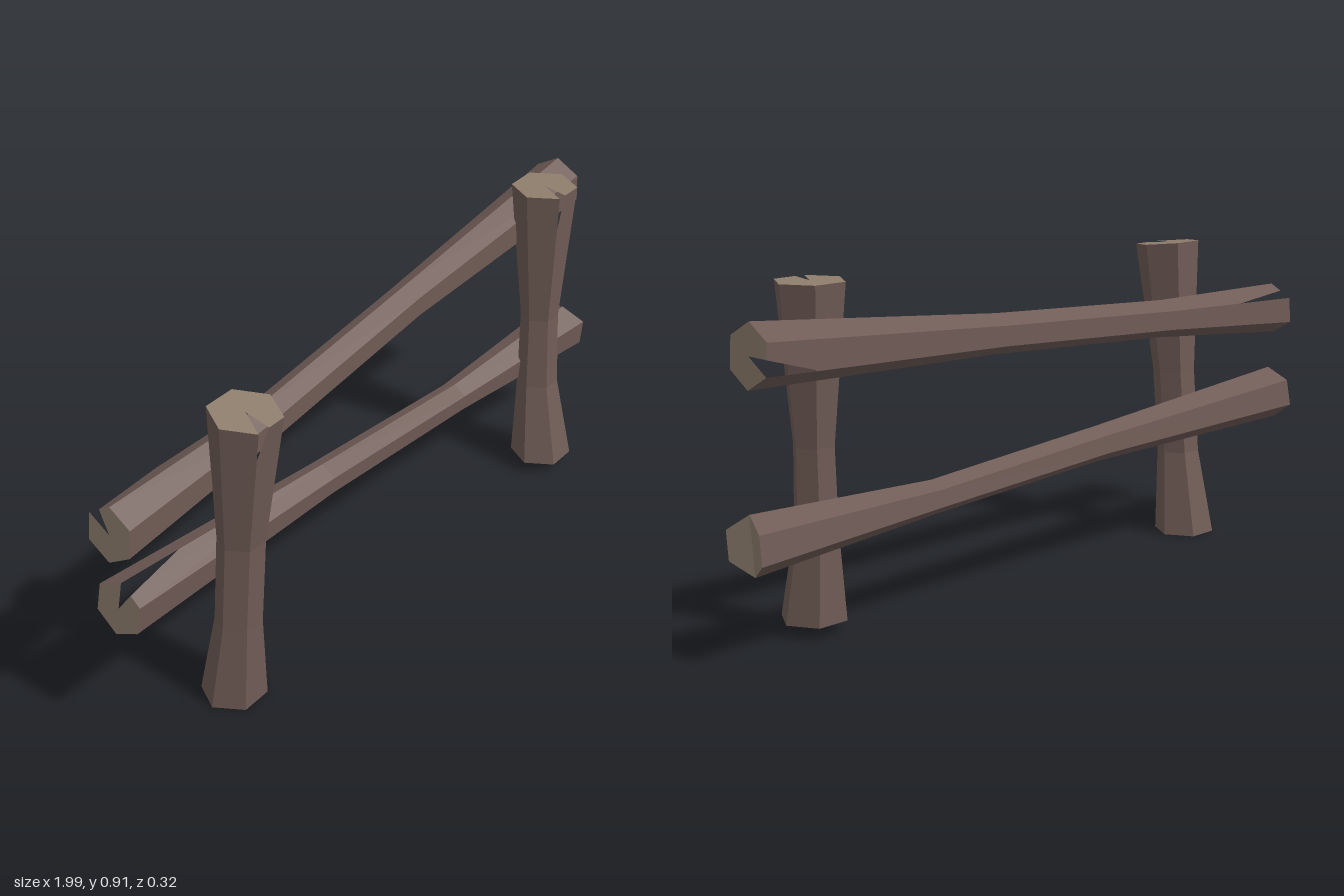
import * as THREE from 'three';

const bark = new THREE.MeshStandardMaterial({ color: 0x6f5b55, flatShading: true });
bark.name = 'bark';
const cutWood = new THREE.MeshStandardMaterial({ color: 0x8e7e6d, flatShading: true });
cutWood.name = 'cutWood';

const SIDES = 6;

// Log from six-sided rings: [along, u, v, radius, tilt].
// axis 'x': u = y, v = z; axis 'y': u = z, v = x.
// A split is { k, f, len }: corner where it opens, share of the edge, length along the log.
function makeLog(name, axis, phase, rings, { start, end, groove = 0 }) {
  const place = (a, u, v) => (axis === 'x' ? new THREE.Vector3(a, u, v) : new THREE.Vector3(v, a, u));
  const loops = rings.map(([a, u, v, r, tilt = 0]) =>
    Array.from({ length: SIDES }, (_, i) => {
      const t = phase + (i / SIDES) * Math.PI * 2;
      return place(a + tilt * r * Math.cos(t), u + r * Math.cos(t), v + r * Math.sin(t));
    }));
  const last = rings.length - 1;
  const centers = [0, last].map((i) => place(rings[i][0], rings[i][1], rings[i][2]));

  // V-shaped crease across the far end
  if (groove) {
    const inward = place(-groove, 0, 0);
    [loops[last][0], loops[last][3], centers[1]].forEach((p) => p.add(inward));
  }

  const barkTris = [];
  const cutTris = [];
  const tri = (list, a, b, c, flip) => (flip ? list.push(a, c, b) : list.push(a, b, c));

  // Bark between rings; split corners are handled with the ends
  for (let j = 0; j < last; j++) {
    for (let i = 0; i < SIDES; i++) {
      if ((j === 0 && start && start.k === i) || (j === last - 1 && end && end.k === i)) continue;
      const n = (i + 1) % SIDES;
      const [q, p] = [loops[j], loops[j + 1]];
      tri(barkTris, q[i], q[n], p[n]);
      tri(barkTris, q[i], p[n], p[i]);
    }
  }

  // Sawn ends, with an optional wedge-shaped split
  const addEnd = (p, q, c, split, flip) => {
    for (let i = 0; i < SIDES; i++) {
      const n = (i + 1) % SIDES;
      if (!split || split.k !== i) {
        tri(cutTris, c, p[i], p[n], flip);
        continue;
      }
      const mouth = p[i].clone().lerp(p[n], split.f);
      const tip = p[i].clone().lerp(q[i], split.len / p[i].distanceTo(q[i]));
      tri(cutTris, c, mouth, p[n], flip);
      tri(barkTris, q[i], q[n], p[n], flip);
      tri(barkTris, q[i], p[n], mouth, flip);
      tri(barkTris, q[i], mouth, tip, flip);
      tri(barkTris, p[i], c, tip, flip);
      tri(barkTris, c, mouth, tip, flip);
    }
  };
  addEnd(loops[0], loops[1], centers[0], start, true);
  addEnd(loops[last], loops[last - 1], centers[1], end, false);

  const geometry = new THREE.BufferGeometry().setFromPoints([...barkTris, ...cutTris]);
  geometry.addGroup(0, barkTris.length, 0);
  geometry.addGroup(barkTris.length, cutTris.length, 1);
  geometry.computeVertexNormals();
  const mesh = new THREE.Mesh(geometry, [bark, cutWood]);
  mesh.name = name;
  return mesh;
}

export function createModel() {
  const fence = new THREE.Group();
  fence.name = 'fence';

  // Posts, pinched in the middle
  fence.add(makeLog('rightPost', 'y', Math.PI / 6, [
    [0.003, 0.01, -0.682, 0.088],
    [0.25, 0.035, -0.677, 0.062],
    [0.5, 0.045, -0.662, 0.062],
    [0.877, 0.07, -0.652, 0.093, -0.1],
  ], { end: { k: 5, f: 0.4, len: 0.08 } }));
  fence.add(makeLog('leftPost', 'y', Math.PI / 6, [
    [0.037, 0.08, 0.687, 0.09],
    [0.28, 0.05, 0.696, 0.06],
    [0.5, 0.04, 0.705, 0.055],
    [0.912, 0.03, 0.712, 0.093],
  ], { end: { k: 5, f: 0.3, len: 0.1 } }));

  // Rails lying behind the posts
  fence.add(makeLog('upperRail', 'x', 0, [
    [-0.99, 0.658, -0.068, 0.075, 0.12],
    [-0.48, 0.684, -0.058, 0.054],
    [0.2, 0.73, -0.083, 0.054],
    [0.99, 0.78, -0.093, 0.08, -0.06],
  ], { start: { k: 5, f: 0.5, len: 0.22 }, end: { k: 4, f: 0.5, len: 0.16 } }));
  fence.add(makeLog('lowerRail', 'x', 0.1, [
    [-0.96, 0.405, -0.095, 0.077, 0.12],
    [-0.2, 0.367, -0.072, 0.05],
    [0.4, 0.325, -0.055, 0.046],
    [0.98, 0.308, -0.035, 0.077],
  ], { start: { k: 0, f: 0.5, len: 0.2 }, groove: 0.025 }));

  return fence;
}
